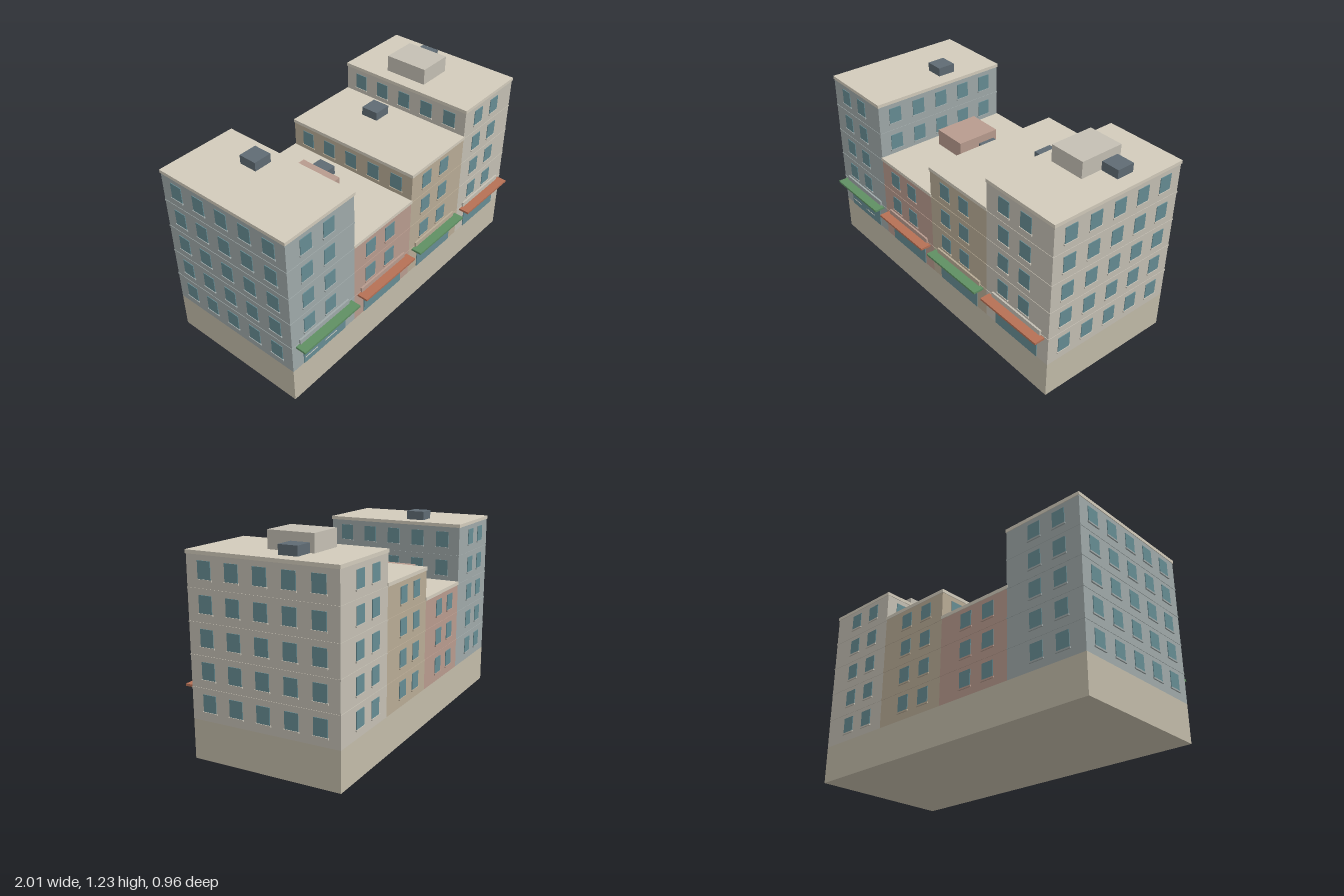
import * as THREE from 'three';

const mat = (color) => new THREE.MeshStandardMaterial({ color });
const M = {
  base: mat(0xc2bba9), roof: mat(0xd2cbbb), glass: mat(0x668c93), unit: mat(0x5f6b73),
  green: mat(0x5f8f63), orange: mat(0xb57055), handle: mat(0xc8c8c0),
};

// Storey grid and block footprint
const BASE = 0.225, STOREY = 0.177, HALF = 0.995, WIDTH = HALF / 2;
const FRONT = 0.413, BACK = -0.475, DEPTH = FRONT - BACK, MIDZ = (FRONT + BACK) / 2;

// Box given by its centre x, bottom y, centre z and its size
function box(parent, name, material, x, y, z, w, h, d) {
  const mesh = new THREE.Mesh(new THREE.BoxGeometry(w, h, d), material);
  mesh.position.set(x, y + h / 2, z);
  mesh.name = name;
  parent.add(mesh);
  return mesh;
}

// Glass pane with a sill, facing +z before it is turned onto its wall
function addWindow(parent, wall, x, y, z, turn) {
  const g = new THREE.Group();
  g.name = 'window';
  box(g, 'pane', M.glass, 0, 0, 0.0015, 0.08, 0.095, 0.005);
  box(g, 'sill', wall, 0, -0.009, 0.003, 0.092, 0.009, 0.01);
  g.position.set(x, y, z);
  g.rotation.y = turn;
  parent.add(g);
}

function addShopFront(parent, cx, wall, awning, handles) {
  const g = new THREE.Group();
  g.name = 'shopFront';
  box(g, 'shopWindow', M.glass, cx, 0.228, FRONT, 0.334, 0.158, 0.01);
  box(g, 'awning', awning, cx, 0.387, FRONT + 0.033, 0.442, 0.013, 0.068);
  box(g, 'signBoard', wall, cx, 0.4, FRONT + 0.005, 0.388, 0.03, 0.012);
  if (handles) {
    for (const x of [cx - 0.11, cx + 0.045]) {
      box(g, 'doorHandle', M.handle, x, 0.265, FRONT + 0.005, 0.095, 0.005, 0.004);
    }
  }
  parent.add(g);
}

const buildings = [
  { floors: 5, color: 0x9fa9a9, awning: M.green, handles: true },
  { floors: 3, color: 0xb89b8e, awning: M.orange, stairHouse: true },
  { floors: 4, color: 0xb8ab95, awning: M.green },
  { floors: 5, color: 0xc4bfb3, awning: M.orange, stairHouse: true },
];

function addBuilding(parent, spec, i) {
  const g = new THREE.Group();
  g.name = 'building' + (i + 1);
  const wall = mat(spec.color);
  const cx = -HALF + WIDTH * (i + 0.5);
  const height = spec.floors * STOREY, top = BASE + height;
  box(g, 'walls', wall, cx, BASE, MIDZ, WIDTH, height, DEPTH);

  // Roof slab with a slight overhang
  box(g, 'roofSlab', M.roof, cx, top, MIDZ, WIDTH + 0.008, 0.02, DEPTH + 0.008);

  // Thin belt courses between storeys
  for (let f = 1; f < spec.floors; f++) {
    box(g, 'beltCourse', wall, cx, BASE + f * STOREY - 0.004, MIDZ, WIDTH + 0.005, 0.008, DEPTH + 0.005);
  }

  // Front and back windows; the street level is a shop front
  for (let f = 0; f < spec.floors; f++) {
    const y = BASE + f * STOREY + 0.052;
    for (const x of [cx - 0.112, cx + 0.054]) {
      if (f > 0) addWindow(g, wall, x, y, FRONT, 0);
      addWindow(g, wall, x, y, BACK, Math.PI);
    }
    // Side windows wherever the wall rises above its neighbour
    for (const s of [-1, 1]) {
      const next = buildings[i + s];
      if (next && f < next.floors) continue;
      for (let k = -2; k <= 2; k++) {
        addWindow(g, wall, cx + s * WIDTH / 2, y, MIDZ + k * 0.1665, s * Math.PI / 2);
      }
    }
  }
  addShopFront(g, cx, wall, spec.awning, spec.handles);

  // Rooftop equipment
  const roofY = top + 0.02;
  box(g, 'ventUnit', M.unit, cx + 0.111, roofY, -0.142, 0.112, 0.053, 0.112);
  if (spec.stairHouse) {
    box(g, 'stairHouse', wall, cx - 0.057, roofY, -0.086, 0.22, 0.1, 0.275);
  }
  parent.add(g);
}

export function createModel() {
  const model = new THREE.Group();
  model.name = 'cityBlock';
  box(model, 'base', M.base, 0, 0, MIDZ, 2 * HALF, BASE, DEPTH);
  buildings.forEach((spec, i) => addBuilding(model, spec, i));
  return model;
}
